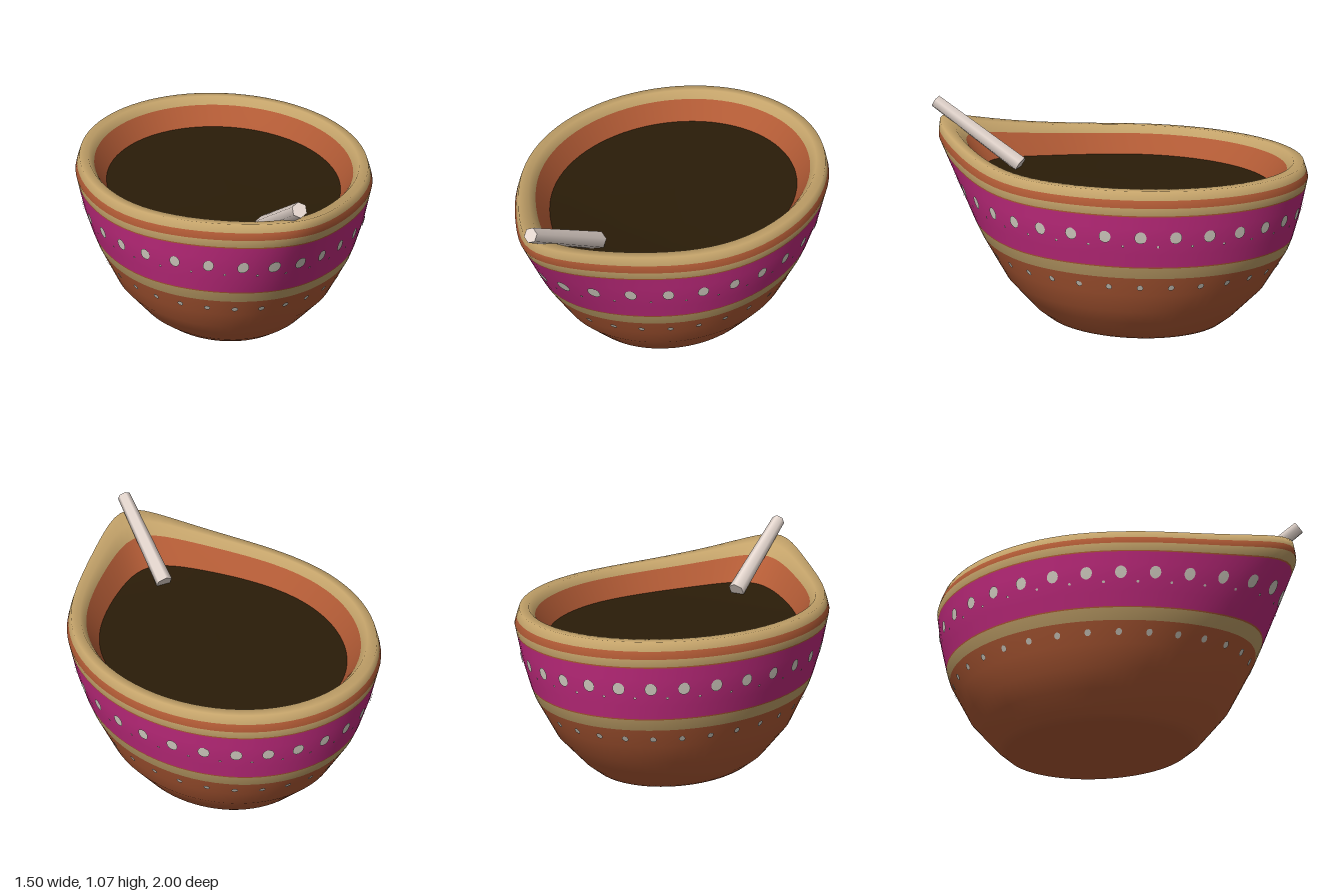
import * as THREE from 'three';

const paint = (name, color) => {
  const m = new THREE.MeshStandardMaterial({ color });
  m.name = name;
  return m;
};

const ZC = -0.125; // centre of every ring
const SEG = 80;

// wall profile: height, half width, half depth, forward pull of the spout
const OUTER = [
  [0, 0.40, 0.475, 0],
  [0.05, 0.46, 0.535, 0.01],
  [0.2, 0.575, 0.675, 0.015],
  [0.42, 0.67, 0.80, 0.045],
  [0.60, 0.72, 0.845, 0.12],
  [0.77, 0.75, 0.875, 0.205],
  [0.84, 0.725, 0.85, 0.22],
];

// linear look-up of a profile row at height y
function outerRow(y) {
  let i = 0;
  while (i < OUTER.length - 2 && y > OUTER[i + 1][0]) i++;
  const a = OUTER[i], b = OUTER[i + 1];
  const t = (y - a[0]) / (b[0] - a[0]);
  return a.map((v, k) => v + (b[k] - v) * t);
}

// point on a ring; the front is pulled out, pinched and lifted into a spout
function ringPoint([y, rx, rz, pull], angle) {
  const c = Math.cos(angle);
  const f = Math.max(c, 0);
  const z = ZC + rz * c + pull * f ** 7;
  const rise = Math.max((z - 0.1) / 0.85, 0) ** 2.5;
  return new THREE.Vector3(
    rx * Math.sin(angle) * (1 - pull * f ** 8),
    y + 0.13 * rise * Math.sqrt(y / 0.84),
    z
  );
}

// closed rings joined into a skin; bands[i] is the material index above ring i
function loft(rows, bands) {
  const pos = [], index = [];
  const geo = new THREE.BufferGeometry();
  rows.forEach((row) => {
    for (let j = 0; j < SEG; j++) pos.push(...ringPoint(row, (j / SEG) * Math.PI * 2));
  });
  for (let i = 0; i < rows.length - 1; i++) {
    geo.addGroup(index.length, SEG * 6, bands[i]);
    for (let j = 0; j < SEG; j++) {
      const k = (j + 1) % SEG;
      const a = i * SEG + j, b = i * SEG + k, c = b + SEG, d = a + SEG;
      index.push(a, b, c, a, c, d);
    }
  }
  geo.setAttribute('position', new THREE.Float32BufferAttribute(pos, 3));
  geo.setIndex(index);
  geo.computeVertexNormals();
  return geo;
}

// a row of thin painted dots lying on the outer wall
function dotRow(y, rx, ry, count, phase) {
  const pos = [], index = [], SIDES = 14;
  const wall = (a, h) => ringPoint(outerRow(h), a);
  const lifted = (a, h) => {
    const p = wall(a, h);
    const du = wall(a + 0.01, h).sub(wall(a - 0.01, h));
    const dv = wall(a, h + 0.01).sub(wall(a, h - 0.01));
    return p.addScaledVector(du.cross(dv).normalize(), 0.005);
  };
  for (let n = 0; n < count; n++) {
    const a = ((n + phase) / count) * Math.PI * 2;
    const arc = wall(a + 0.01, y).distanceTo(wall(a - 0.01, y)) / 0.02;
    const start = pos.length / 3;
    pos.push(...lifted(a, y));
    for (let s = 0; s < SIDES; s++) {
      const t = (s / SIDES) * Math.PI * 2;
      pos.push(...lifted(a + (rx / arc) * Math.cos(t), y + ry * Math.sin(t)));
      index.push(start, start + 1 + s, start + 1 + ((s + 1) % SIDES));
    }
  }
  const geo = new THREE.BufferGeometry();
  geo.setAttribute('position', new THREE.Float32BufferAttribute(pos, 3));
  geo.setIndex(index);
  geo.computeVertexNormals();
  return geo;
}

export function createModel() {
  const clay = paint('terracotta', 0xb45c36);
  const gold = paint('gold', 0xc4a36a);
  const pink = paint('magenta', 0xc42b80);
  const oil = paint('darkOil', 0x2a1c08);
  const white = paint('dotWhite', 0xd8d2c6);
  const cotton = paint('cotton', 0xe6d8d0);

  const group = new THREE.Group();
  group.name = 'oilLamp';
  const add = (name, geo, mat) => {
    const mesh = new THREE.Mesh(geo, mat);
    mesh.name = name;
    group.add(mesh);
    return mesh;
  };

  // bowl: base, painted bands (0 clay, 1 gold, 2 magenta), rim and inner wall
  const steps = [
    [0, 0], [0.025, 0], [0.05, 0], [0.12, 0], [0.2, 0], [0.3, 0],
    [0.4, 1], [0.457, 0], [0.463, 2], [0.53, 2], [0.6, 2], [0.66, 2],
    [0.722, 0], [0.728, 1], [0.765, 0], [0.8, 1], [0.84, 1],
  ];
  const rows = [[0, 0, 0, 0], ...steps.map(([y]) => outerRow(y))];
  const bands = [0, ...steps.map(([, band]) => band)];
  rows.push([0.84, 0.68, 0.80, 0.18], [0.80, 0.652, 0.768, 0.15], [0.67, 0.58, 0.685, 0.10]);
  bands.push(1, 0);
  add('bowl', loft(rows, bands), [clay, gold, pink]);

  // oil surface, rising gently into the spout
  const oilRows = [1, 0.85, 0.7, 0.5, 0].map((s) => [0.695, 0.594 * s, 0.7 * s, 0.105 * s]);
  add('oil', loft(oilRows, [0, 0, 0, 0]), [oil]);

  // painted dots
  add('largeDots', dotRow(0.62, 0.028, 0.03, 32, 0.5), white);
  add('smallDots', dotRow(0.35, 0.015, 0.015, 32, 0.5), white);
  add('tinyDots', dotRow(0.575, 0.007, 0.006, 32, 0), white);

  // wick resting on the spout
  const low = new THREE.Vector3(0, 0.735, 0.505);
  const high = new THREE.Vector3(0, 1.042, 0.98);
  const axis = high.clone().sub(low);
  const wick = add('wick', new THREE.CylinderGeometry(0.036, 0.045, axis.length(), 6), cotton);
  wick.position.copy(low).add(high).multiplyScalar(0.5);
  wick.quaternion.setFromUnitVectors(new THREE.Vector3(0, 1, 0), axis.normalize());

  return group;
}
